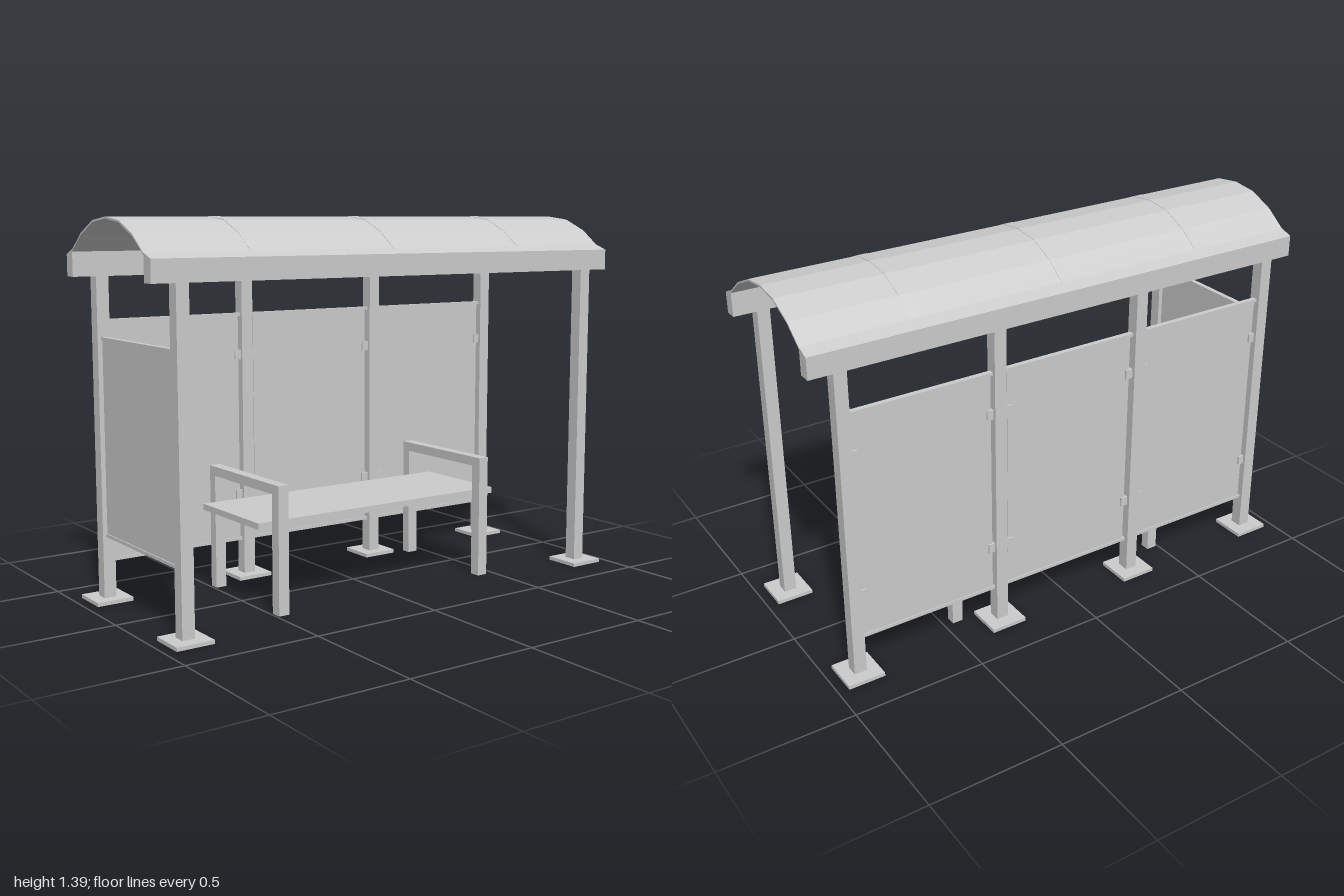
import * as THREE from 'three';

const material = new THREE.MeshStandardMaterial({ color: 0xcccccc, flatShading: true });

function addMesh(parent, name, geometry) {
  const mesh = new THREE.Mesh(geometry, material);
  mesh.name = name;
  parent.add(mesh);
  return mesh;
}

// Box given by its [min, max] range on each axis
function addBox(parent, name, [x0, x1], [y0, y1], [z0, z1]) {
  const mesh = addMesh(parent, name, new THREE.BoxGeometry(x1 - x0, y1 - y0, z1 - z0));
  mesh.position.set((x0 + x1) / 2, (y0 + y1) / 2, (z0 + z1) / 2);
  return mesh;
}

const around = (c, size) => [c - size / 2, c + size / 2];

// Outline in x and y, extruded along z
function addProfile(parent, name, points, [z0, z1]) {
  const shape = new THREE.Shape(points.map(([x, y]) => new THREE.Vector2(x, y)));
  const geometry = new THREE.ExtrudeGeometry(shape, { depth: z1 - z0, bevelEnabled: false });
  geometry.translate(0, 0, z0);
  return addMesh(parent, name, geometry);
}

const POST_X = 0.298, POST = 0.047, END_Z = 0.89, MID_Z = 0.3;

// Post standing on a square foot plate
function addPost(parent, x, z) {
  const post = new THREE.Group();
  post.name = 'post';
  addBox(post, 'postShaft', around(x, POST), [0.014, 1.18], around(z, POST));
  addBox(post, 'footPlate', around(Math.sign(x) * 0.3, 0.14), [0, 0.014], around(z, 0.14));
  parent.add(post);
}

// Arched strip following the roof curve
function archOutline(lift, thickness) {
  const half = [[0.275, 1.267], [0.197, 1.326], [0.1, 1.369], [0, 1.381]];
  const curve = [...half, ...half.slice(0, 3).reverse().map(([x, y]) => [-x, y])];
  const top = curve.map(([x, y]) => [x, y + lift + thickness]);
  const bottom = curve.map(([x, y]) => [x, y + lift]).reverse();
  return [...top, ...bottom];
}

function buildRoof() {
  const roof = new THREE.Group();
  roof.name = 'roof';
  addProfile(roof, 'roofSheet', archOutline(0, 0.007), [-1, 1]);
  // Slim ribs over the sheet joints
  for (const z of [-0.59, 0, 0.59]) {
    addProfile(roof, 'roofRib', archOutline(-0.001, 0.0095), around(z, 0.04));
  }
  // Side beams with sloped caps
  for (const s of [-1, 1]) {
    addBox(roof, 'sideBeam', around(s * POST_X, POST), [1.18, 1.23], [-1, 1]);
    const cap = [[0.2745, 1.23], [0.3215, 1.23], [0.3215, 1.258], [0.2745, 1.276]];
    const outline = cap.map(([x, y]) => [s * x, y]);
    addProfile(roof, 'beamCap', outline, [-1, 1]);
  }
  return roof;
}

function buildBackWall() {
  const wall = new THREE.Group();
  wall.name = 'backWall';
  for (const z of [-0.595, 0, 0.595]) {
    addBox(wall, 'backPanel', around(-POST_X, 0.012), [0.155, 1.015], around(z, 0.528));
    // Rails along top and bottom, reaching from post to post
    for (const y of [0.15, 1.02]) {
      addBox(wall, 'panelRail', around(-POST_X, 0.02), around(y, 0.012), around(z, 0.548));
    }
    // Clips holding the panel to the posts
    for (const s of [-1, 1]) {
      for (const y of [0.325, 0.867]) {
        addBox(wall, 'panelClip', around(-POST_X, 0.026), around(y, 0.036), around(z + s * 0.261, 0.028));
      }
    }
  }
  return wall;
}

function buildEndWall() {
  const wall = new THREE.Group();
  wall.name = 'endWall';
  addBox(wall, 'endPanel', [-0.275, 0.275], [0.24, 0.965], around(END_Z, 0.012));
  for (const y of [0.246, 0.959]) {
    addBox(wall, 'endRail', [-0.275, 0.275], around(y, 0.012), around(END_Z, 0.02));
  }
  return wall;
}

function buildBench() {
  const bench = new THREE.Group();
  bench.name = 'bench';
  addBox(bench, 'seat', [-0.19, 0.2], [0.31, 0.333], [-0.525, 0.547]);
  // Leg pair and armrest at each end
  for (const z of [-0.445, 0.47]) {
    const zs = around(z, 0.042);
    addBox(bench, 'rearLeg', [-0.237, -0.2], [0, 0.43], zs);
    addBox(bench, 'frontLeg', [0.2, 0.243], [0, 0.43], zs);
    addBox(bench, 'armrest', [-0.237, 0.243], [0.43, 0.465], zs);
  }
  return bench;
}

export function createModel() {
  const shelter = new THREE.Group();
  shelter.name = 'shelter';
  const posts = new THREE.Group();
  posts.name = 'posts';
  // Four posts at the back, two on the open side
  for (const z of [-END_Z, -MID_Z, MID_Z, END_Z]) addPost(posts, -POST_X, z);
  for (const z of [-END_Z, END_Z]) addPost(posts, POST_X, z);
  shelter.add(posts, buildRoof(), buildBackWall(), buildEndWall(), buildBench());
  return shelter;
}
